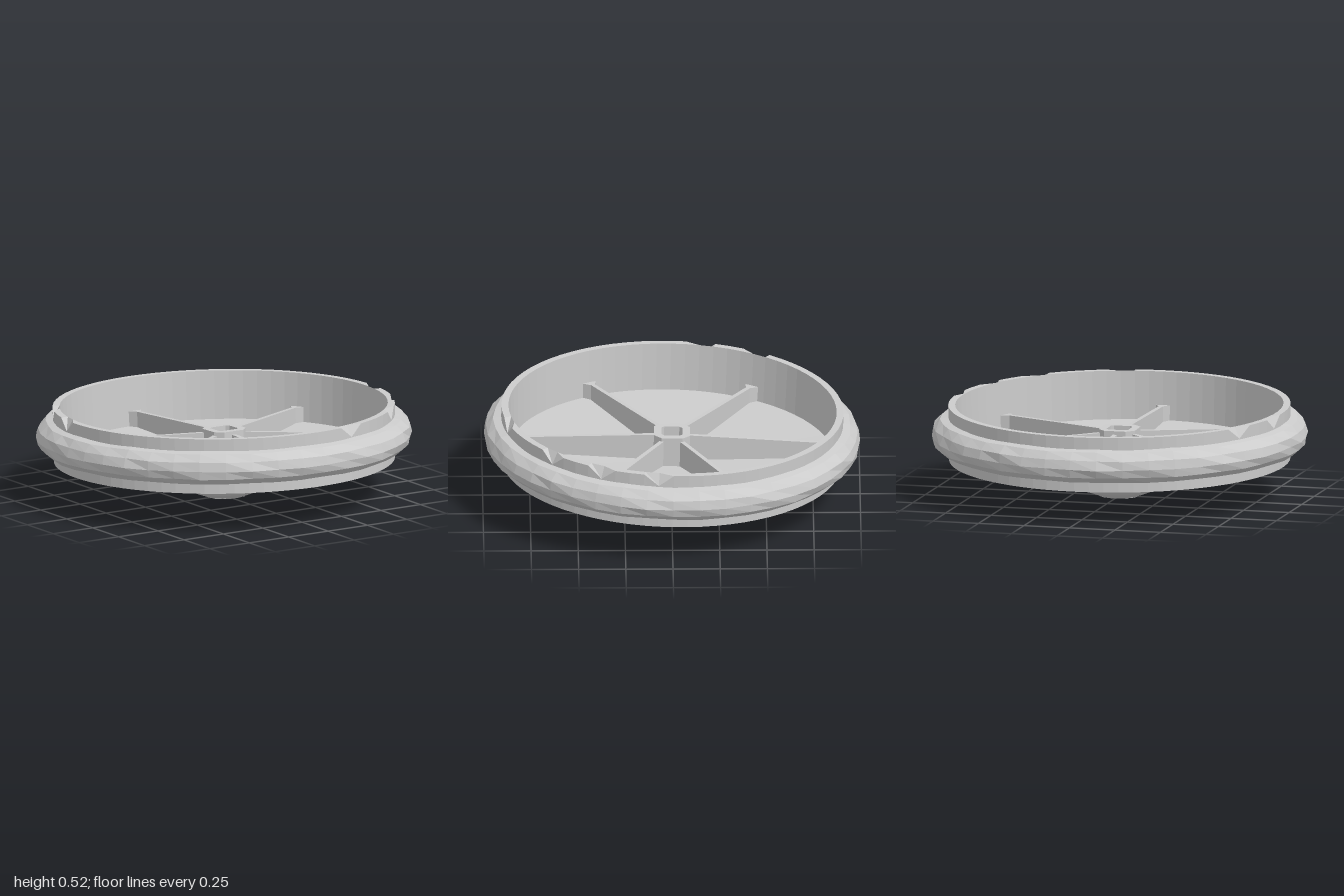
import * as THREE from 'three';

const material = new THREE.MeshStandardMaterial({ color: 0xcccccc, flatShading: true, side: THREE.DoubleSide });

function addMesh(parent, name, geometry) {
  const mesh = new THREE.Mesh(geometry, material);
  mesh.name = name;
  parent.add(mesh);
  return mesh;
}

function lathe(profile, segments) {
  return new THREE.LatheGeometry(profile.map(([r, y]) => new THREE.Vector2(r, y)), segments);
}

// Uneven radius for the hand-cut facets; periodic so the seam stays closed
function roughen(geometry, amount) {
  const p = geometry.attributes.position;
  for (let i = 0; i < p.count; i++) {
    const x = p.getX(i), y = p.getY(i), z = p.getZ(i);
    const a = Math.atan2(z, x);
    const k = 1 + amount * (Math.sin(7 * a + 40 * y) + Math.sin(17 * a - 60 * y)) / 2;
    p.setXYZ(i, x * k, y + amount * 0.3 * Math.sin(13 * a + 25 * y), z * k);
  }
  return geometry;
}

// Small V cuts in the outer top edge of the rim, at the given angles
function nickRim(geometry, angles) {
  const p = geometry.attributes.position;
  for (let i = 0; i < p.count; i++) {
    const x = p.getX(i), y = p.getY(i), z = p.getZ(i);
    if (y < 0.48 || Math.hypot(x, z) < 0.89) continue;
    const a = Math.atan2(z, x);
    if (angles.some((n) => Math.abs(a - n) < 0.044)) p.setY(i, y - 0.06);
  }
  return geometry;
}

// Extrude a plan shape upward from y0 to y1
function extrudeUp(shape, y0, y1) {
  const g = new THREE.ExtrudeGeometry(shape, { depth: y1 - y0, bevelEnabled: false });
  return g.rotateX(-Math.PI / 2).translate(0, y0, 0);
}

// Rectangle with cut corners
function cutRect(w, h, c) {
  return [[w, c - h], [w, h - c], [w - c, h], [c - w, h], [-w, h - c], [-w, c - h], [c - w, -h], [w - c, -h]]
    .map(([x, y]) => new THREE.Vector2(x, y));
}

export function createModel() {
  const group = new THREE.Group();
  const wheel = new THREE.Group();
  wheel.name = 'wheel';
  wheel.rotation.x = -0.025; // sits slightly tilted, front edge higher
  wheel.position.z = 0.006;
  group.add(wheel);

  // Dish: domed underside, shallow cone floor and upright rim wall
  addMesh(wheel, 'dish', nickRim(lathe([
    [0.09, 0.002], [0.1, 0.002], [0.2, 0.04], [0.25, 0.08], [0.29, 0.125], [0.905, 0.2],
    [0.907, 0.495], [0.87, 0.495], [0.86, 0.235], [0.09, 0.205], [0.09, 0.002],
  ], 72), [1.33, 0.8, 0.46, 0.13, -2.95, -2.63]));

  // Rounded tyre around the rim
  addMesh(wheel, 'tyre', roughen(lathe([
    [0.89, 0.255], [0.947, 0.26], [0.985, 0.292], [0.997, 0.335],
    [0.985, 0.383], [0.947, 0.422], [0.89, 0.434],
  ], 44), 0.006));

  // Hub with a through hole
  const hubShape = new THREE.Shape(cutRect(0.1, 0.095, 0.04));
  hubShape.holes.push(new THREE.Path(cutRect(0.06, 0.055, 0.015).reverse()));
  addMesh(wheel, 'hub', extrudeUp(hubShape, 0.004, 0.365));

  // Six spokes, flared where they meet the wall and sloping down outward
  const t = 0.012;
  const spokeShape = new THREE.Shape([
    [0.08, -t], [0.82, -t], [0.866, -0.042], [0.866, 0.042], [0.82, t], [0.08, t],
  ].map(([x, y]) => new THREE.Vector2(x, y)));
  const spokeGeometry = extrudeUp(spokeShape, 0.2, 0.35);
  const p = spokeGeometry.attributes.position;
  for (let i = 0; i < p.count; i++) {
    if (p.getY(i) > 0.3) p.setY(i, 0.35 - 0.04 * p.getX(i));
  }
  for (let i = 0; i < 6; i++) {
    addMesh(wheel, 'spoke', spokeGeometry).rotation.y = Math.PI / 6 + i * Math.PI / 3;
  }
  return group;
}
